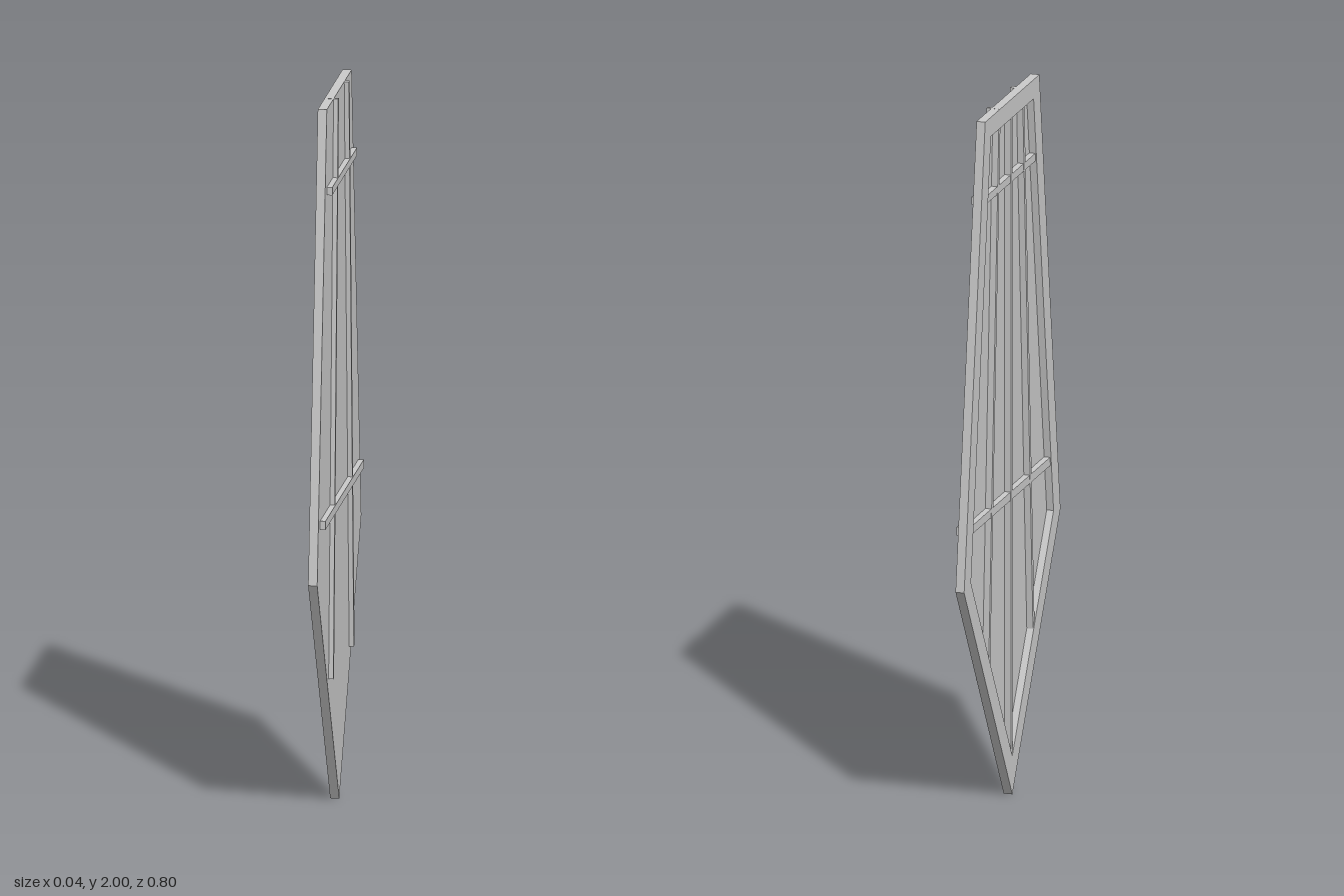
import * as THREE from 'three';

const material = new THREE.MeshStandardMaterial({ color: 0xcccccc, flatShading: true });

// Half outlines of the board as [z, y], tip to top
const OUTER = [[0, 0], [0.4, 0.7], [0.225, 2]];
const INNER = [[0, 0.111], [0.343, 0.711], [0.177, 1.945]];

// Mirror a half outline into a closed loop
function outline(half) {
  const mirrored = half.slice(1).reverse().map(([z, y]) => [-z, y]);
  return [...half, ...mirrored].map(([z, y]) => new THREE.Vector2(z, y));
}

// Extrude a z-y shape from x = xMax towards -x
function slab(name, shape, xMax, depth) {
  const geometry = new THREE.ExtrudeGeometry(shape, { depth, bevelEnabled: false });
  geometry.rotateY(-Math.PI / 2);
  geometry.translate(xMax, 0, 0);
  const mesh = new THREE.Mesh(geometry, material);
  mesh.name = name;
  return mesh;
}

// Straight square bar between two [z, y] points, spanning x0..x1
function bar(name, [z0, y0], [z1, y1], width, x0, x1) {
  const length = Math.hypot(z1 - z0, y1 - y0);
  const mesh = new THREE.Mesh(new THREE.BoxGeometry(x1 - x0, length, width), material);
  mesh.position.set((x0 + x1) / 2, (y0 + y1) / 2, (z0 + z1) / 2);
  mesh.rotation.x = Math.atan2(z1 - z0, y1 - y0);
  mesh.name = name;
  return mesh;
}

export function createModel() {
  const group = new THREE.Group();
  group.name = 'taperedPanel';

  // Raised rim, open on the -x side
  const rim = new THREE.Shape(outline(OUTER));
  rim.holes.push(new THREE.Path(outline(INNER)));
  group.add(slab('rim', rim, 0.005, 0.025));

  // Thin sheet closing the +x side
  group.add(slab('sheet', new THREE.Shape(outline(INNER)), 0.005, 0.005));

  // Slanted uprights passing through the sheet
  for (const s of [-1, 1]) {
    group.add(bar('upright', [s * 0.186, 0.385], [s * 0.097, 2], 0.013, -0.018, 0.018));
  }

  // Crossbars, proud of the sheet on both sides
  group.add(bar('lowerCrossbar', [-0.348, 0.858], [0.348, 0.858], 0.024, -0.017, 0.02));
  group.add(bar('upperCrossbar', [-0.225, 1.77], [0.225, 1.77], 0.022, -0.017, 0.02));

  // Central rib inside the recess
  group.add(bar('centreRib', [0, 0.09], [0, 1.96], 0.013, -0.018, 0.002));

  return group;
}
